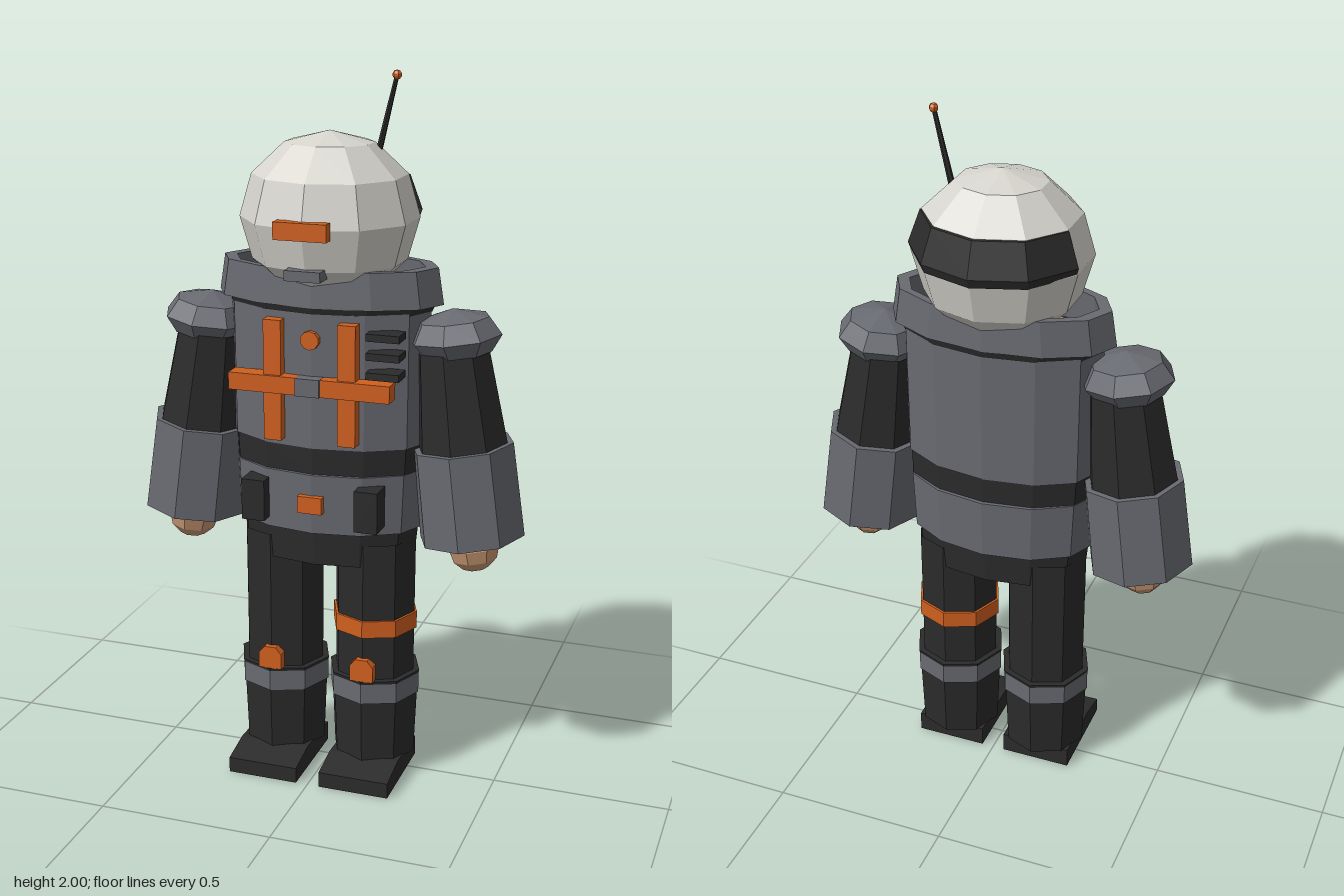
import * as THREE from 'three';

const mat = (name, color) => {
  const m = new THREE.MeshStandardMaterial({ color, flatShading: true, side: THREE.DoubleSide });
  m.name = name;
  return m;
};
const grey = mat('suit grey', 0x686a71);
const dark = mat('dark fabric', 0x2b2b2c);
const orange = mat('orange', 0xd0601f);
const white = mat('helmet white', 0xd6d4cd);
const skin = mat('skin', 0xc99873);

function add(parent, name, geometry, material, x = 0, y = 0, z = 0) {
  const mesh = new THREE.Mesh(geometry, material);
  mesh.name = name;
  mesh.position.set(x, y, z);
  parent.add(mesh);
  return mesh;
}

// box given by its limits
function box(parent, name, material, x0, x1, y0, y1, z0, z1) {
  const g = new THREE.BoxGeometry(x1 - x0, y1 - y0, z1 - z0);
  return add(parent, name, g, material, (x0 + x1) / 2, (y0 + y1) / 2, (z0 + z1) / 2);
}

// turned profile of [radius, height] points
function lathe(profile, sides, start = 0, sweep = Math.PI * 2) {
  return new THREE.LatheGeometry(profile.map(([r, y]) => new THREE.Vector2(r, y)), sides, start, sweep);
}

// oval, twelve-sided torso section; profile radii are half widths
function oval(parent, name, material, profile, depth) {
  add(parent, name, lathe(profile, 12), material).scale.z = depth;
}

function buildHead(parent) {
  const head = new THREE.Group();
  head.name = 'head';
  head.position.y = 1.61;
  parent.add(head);
  const helmet = new THREE.SphereGeometry(0.23, 10, 6).rotateY(Math.PI / 2).scale(1.065, 1, 1);
  add(head, 'helmet', helmet, white);
  // dark band wrapped round the back of the helmet
  const band = [[0.195, -0.005], [0.235, -0.005], [0.244, 0.02], [0.211, 0.113], [0.195, 0.113], [0.195, -0.005]];
  add(head, 'visor', lathe(band, 4, Math.PI * 0.6, Math.PI * 0.8), dark).scale.x = 1.02;
  box(head, 'browPlate', orange, -0.073, 0.073, -0.025, 0.022, 0.21, 0.243);
  box(head, 'chinPlate', grey, -0.05, 0.05, -0.135, -0.107, 0.17, 0.225);

  // antenna
  const base = new THREE.Vector3(0.125, 0.17, -0.033);
  const tip = new THREE.Vector3(0.175, 0.376, -0.03);
  const rod = add(head, 'antenna', new THREE.CylinderGeometry(0.006, 0.009, base.distanceTo(tip), 6), dark);
  rod.position.copy(base).add(tip).multiplyScalar(0.5);
  rod.quaternion.setFromUnitVectors(new THREE.Vector3(0, 1, 0), tip.clone().sub(base).normalize());
  add(head, 'antennaTip', new THREE.SphereGeometry(0.013, 6, 5), orange, tip.x, tip.y, tip.z);
}

function buildTorso(parent) {
  const torso = new THREE.Group();
  torso.name = 'torso';
  parent.add(torso);
  oval(torso, 'innerBody', skin, [[0, 0.675], [0.215, 0.675], [0.25, 1.4], [0, 1.4]], 0.47);
  oval(torso, 'hips', dark, [[0.25, 0.655], [0.26, 0.757]], 0.54);
  oval(torso, 'skirt', grey, [[0.25, 0.755], [0.27, 0.755], [0.278, 0.925], [0.25, 0.925]], 0.58);
  oval(torso, 'belt', dark, [[0.278, 0.923], [0.282, 1.002]], 0.54);
  oval(torso, 'chest', grey, [[0.25, 1.0], [0.285, 1.0], [0.288, 1.376]], 0.545);
  oval(torso, 'neckBand', dark, [[0.29, 1.37], [0.3, 1.392]], 0.52);
  oval(torso, 'collar', grey,
    [[0.28, 1.39], [0.322, 1.39], [0.306, 1.49], [0.27, 1.49], [0.28, 1.39]], 0.49);

  // harness
  for (const s of [-1, 1]) {
    box(torso, 'verticalStrap', orange, s * 0.105 - 0.025, s * 0.105 + 0.025, 1.02, 1.355, 0.13, 0.173);
    box(torso, 'pouch', dark, s * 0.163 - 0.033, s * 0.163 + 0.033, 0.783, 0.9, 0.11, 0.18);
  }
  box(torso, 'crossStrap', orange, -0.228, 0.228, 1.155, 1.203, 0.13, 0.183);
  box(torso, 'buckle', grey, -0.034, 0.034, 1.155, 1.204, 0.14, 0.19);
  box(torso, 'beltPlate', orange, -0.035, 0.035, 0.818, 0.866, 0.13, 0.175);
  const badge = new THREE.CylinderGeometry(0.026, 0.026, 0.02, 10).rotateX(Math.PI / 2);
  add(torso, 'chestButton', badge, orange, 0, 1.305, 0.16);
  for (const y of [1.325, 1.273, 1.22]) box(torso, 'vent', dark, 0.155, 0.247, y - 0.01, y + 0.01, 0.1, 0.163);
}

// arm hanging from the shoulder, leaning outwards
function buildArm(parent, side) {
  const arm = new THREE.Group();
  arm.name = side > 0 ? 'leftArm' : 'rightArm';
  arm.position.set(side * 0.345, 1.305, 0);
  arm.rotation.z = side * 0.125;
  parent.add(arm);
  const cap = [[0.095, -0.045], [0.128, 0], [0.098, 0.05], [0, 0.077]];
  add(arm, 'shoulderCap', lathe(cap, 8), grey, side * 0.012);
  add(arm, 'upperArm', lathe([[0.127, -0.31], [0.1, -0.03]], 8), dark);
  const cuff = [[0.11, -0.5], [0.135, -0.565], [0.149, -0.565], [0.143, -0.3], [0.1, -0.3]];
  add(arm, 'forearm', lathe(cuff, 8), grey);
  add(arm, 'wrist', new THREE.CylinderGeometry(0.06, 0.06, 0.12, 8), skin, 0, -0.51);
  add(arm, 'hand', new THREE.SphereGeometry(0.075, 8, 6), skin, 0, -0.592);
}

function buildLeg(parent, side) {
  const leg = new THREE.Group();
  leg.name = side > 0 ? 'leftLeg' : 'rightLeg';
  leg.position.x = side * 0.137;
  parent.add(leg);
  add(leg, 'thigh', lathe([[0.116, 0.3], [0.118, 0.72]], 8), dark);
  add(leg, 'shin', lathe([[0, 0.055], [0.12, 0.055], [0.128, 0.25]], 8), dark);
  add(leg, 'kneeBand', lathe([[0.11, 0.245], [0.132, 0.245], [0.132, 0.305]], 8), grey);
  add(leg, 'kneeRim', lathe([[0.132, 0.305], [0.134, 0.314], [0.1, 0.314]], 8), dark);
  if (side > 0) {
    add(leg, 'thighBand', lathe([[0.11, 0.445], [0.124, 0.445], [0.124, 0.495], [0.11, 0.495]], 8), orange);
  }

  // knee pad with clipped top corners
  const pad = new THREE.Shape([[-0.034, 0.314], [0.034, 0.314], [0.034, 0.36], [0.017, 0.38],
    [-0.017, 0.38], [-0.034, 0.36]].map(([x, y]) => new THREE.Vector2(x, y)));
  add(leg, 'kneePad', new THREE.ExtrudeGeometry(pad, { depth: 0.04, bevelEnabled: false }), orange, 0, 0, 0.09);

  // boot: side outline of the sole and sloping toe
  const sole = new THREE.Shape([[-0.2, 0], [0.08, 0], [0.08, 0.058], [-0.1, 0.065], [-0.2, 0.045]]
    .map(([x, y]) => new THREE.Vector2(x, y)));
  const boot = new THREE.ExtrudeGeometry(sole, { depth: 0.205, bevelEnabled: false });
  boot.translate(0, 0, -0.1025).rotateY(Math.PI / 2);
  add(leg, 'boot', boot, dark);
}

export function createModel() {
  const model = new THREE.Group();
  model.name = 'spaceSuitFigure';
  buildHead(model);
  buildTorso(model);
  for (const side of [-1, 1]) {
    buildArm(model, side);
    buildLeg(model, side);
  }
  return model;
}
